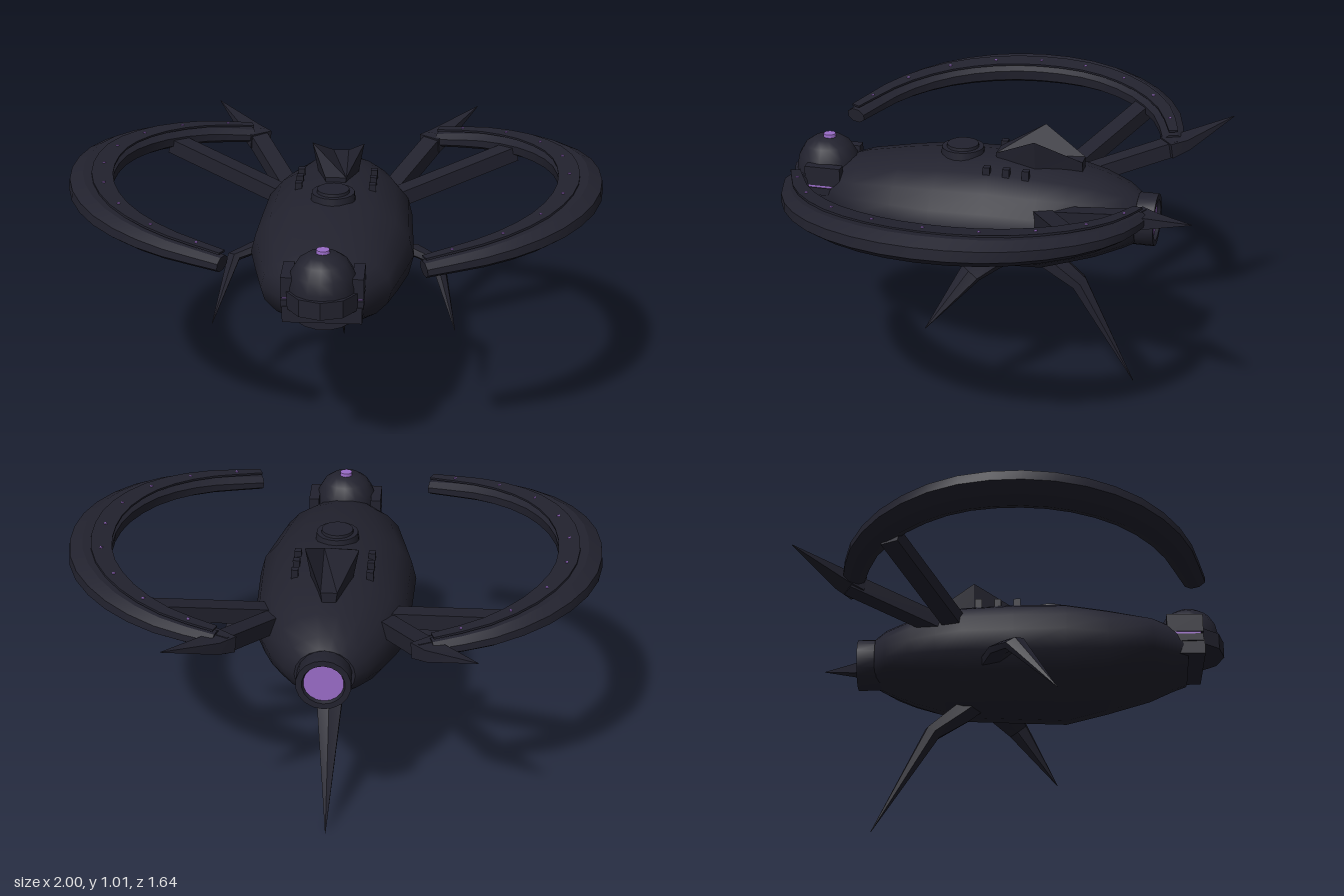
import * as THREE from 'three';
import { toCreasedNormals } from 'three/addons/utils/BufferGeometryUtils.js';

const V = (x, y, z) => new THREE.Vector3(x, y, z);

// Closed skin through equal-sized rings of points, always wound outward
function loft(rings, crease = 0.7) {
  const n = rings[0].length, pos = [], idx = [];
  rings.forEach(r => r.forEach(p => pos.push(p)));
  for (let i = 0; i < rings.length - 1; i++)
    for (let j = 0; j < n; j++) {
      const a = i * n + j, b = i * n + (j + 1) % n;
      idx.push([a, b, b + n], [a, b + n, a + n]);
    }
  const last = (rings.length - 1) * n;
  for (let j = 1; j < n - 1; j++) idx.push([0, j + 1, j], [last, last + j, last + j + 1]);
  let volume = 0;
  for (const [a, b, c] of idx) volume += pos[a].dot(pos[b].clone().cross(pos[c]));
  const flat = [];
  for (const [a, b, c] of idx)
    for (const k of volume < 0 ? [a, c, b] : [a, b, c]) flat.push(pos[k].x, pos[k].y, pos[k].z);
  const g = new THREE.BufferGeometry();
  g.setAttribute('position', new THREE.Float32BufferAttribute(flat, 3));
  return toCreasedNormals(g, crease);
}

// Limb along stations [x, y, z, halfWidth, halfHeight]; n = 4 gives a rectangular section
function limb(stations, ref, n = 4) {
  const p = stations.map(s => V(s[0], s[1], s[2]));
  return loft(p.map((c, i) => {
    const dir = p[Math.min(i + 1, p.length - 1)].clone().sub(p[Math.max(i - 1, 0)]).normalize();
    const side = dir.clone().cross(ref).normalize();
    const up = side.clone().cross(dir);
    const k = 1 / Math.cos(Math.PI / n);
    return Array.from({ length: n }, (_, j) => {
      const a = (j + 0.5) / n * Math.PI * 2;
      return c.clone().addScaledVector(side, Math.cos(a) * k * stations[i][3])
        .addScaledVector(up, Math.sin(a) * k * stations[i][4]);
    });
  }), 0.5);
}

export function createModel() {
  const root = new THREE.Group();
  const dark = new THREE.MeshStandardMaterial({ color: 0x22222e });
  dark.name = 'dark hull';
  const glow = new THREE.MeshStandardMaterial({ color: 0x9a6cc8 });
  glow.name = 'violet glow';

  const add = (name, geo, mat = dark, x = 0, y = 0, z = 0) => {
    const m = new THREE.Mesh(geo, mat);
    m.name = name;
    m.position.set(x, y, z);
    root.add(m);
    return m;
  };
  const box = (name, w, h, d, x, y, z, mat) => add(name, new THREE.BoxGeometry(w, h, d), mat, x, y, z);

  // Hull: [z, half width, top, bottom, height of widest line]
  const hull = [
    [0.67, 0.13, 0.80, 0.61, 0.71], [0.62, 0.16, 0.83, 0.595, 0.71], [0.53, 0.235, 0.855, 0.565, 0.705],
    [0.36, 0.272, 0.885, 0.515, 0.70], [0.20, 0.305, 0.905, 0.475, 0.70], [0, 0.297, 0.91, 0.482, 0.70],
    [-0.20, 0.288, 0.90, 0.49, 0.70], [-0.30, 0.255, 0.885, 0.52, 0.70], [-0.40, 0.215, 0.865, 0.55, 0.70],
    [-0.50, 0.155, 0.83, 0.59, 0.70], [-0.545, 0.11, 0.80, 0.61, 0.70],
  ];
  add('hull', loft(hull.map(([z, w, top, bottom, mid]) => Array.from({ length: 18 }, (_, j) => {
    const a = j / 18 * Math.PI * 2, s = Math.sin(a);
    return V(Math.cos(a) * w, mid + s * (s > 0 ? top - mid : mid - bottom), z);
  }))));

  // Engine: hollow nozzle with a glowing disc
  const nozzle = [[0.09, 0], [0.1, 0.02], [0.1, 0.115], [0.078, 0.115], [0.072, 0.1]].map(p => new THREE.Vector2(...p));
  add('engineNozzle', toCreasedNormals(new THREE.LatheGeometry(nozzle, 18), 0.5), dark, 0, 0.7, -0.5).rotation.x = -Math.PI / 2;
  add('engineGlow', new THREE.CircleGeometry(0.076, 18), glow, 0, 0.7, -0.602).rotation.y = Math.PI;

  // Dorsal fin: flared wedge, highest at its widest point
  const outline = [[0.04, 0.925, 0], [0.1, 1.005, -0.16], [0.03, 0.915, -0.33]];
  const half = k => outline.map(([x, y, z]) => V(x * k, k < 1 ? 0.84 : y, z));
  const around = pts => [...pts, ...pts.slice().reverse().map(p => V(-p.x, p.y, p.z))];
  add('dorsalFin', loft([around(half(0.7)), around(half(1))], 0.2));

  // Round hatch on the back
  add('hatchBase', new THREE.CylinderGeometry(0.08, 0.085, 0.04, 18), dark, 0, 0.905, 0.14);
  add('hatchLid', new THREE.CylinderGeometry(0.06, 0.062, 0.012, 18), dark, 0, 0.93, 0.14);

  // Head: dome, jaw and neck block
  const dome = [[0.122, 0.74], [0.122, 0.80], [0.112, 0.845], [0.088, 0.885], [0.055, 0.908], [0.0, 0.915]]
    .map(p => new THREE.Vector2(...p));
  add('headDome', toCreasedNormals(new THREE.LatheGeometry(dome, 16), 0.7), dark, 0, 0, 0.682);
  add('headEye', new THREE.CylinderGeometry(0.024, 0.026, 0.016, 10), glow, 0, 0.916, 0.675);
  add('jaw', toCreasedNormals(new THREE.CylinderGeometry(0.13, 0.13, 0.065, 10), 0.3), dark, 0, 0.753, 0.69);
  box('neckBlock', 0.28, 0.06, 0.15, 0, 0.7, 0.66);

  // Ring arm centre line and its inner track, right-hand coordinates
  const armPath = [[0.35, 0.687], [0.6, 0.585], [0.78, 0.43], [0.89, 0.22], [0.92, 0],
    [0.88, -0.22], [0.75, -0.42], [0.57, -0.55], [0.38, -0.605]];
  const armCurve = new THREE.CatmullRomCurve3(armPath.map(([x, z]) => V(x, 0, z)));

  for (const s of [1, -1]) {
    const name = n => (s > 0 ? 'left' : 'right') + n;
    const up = V(-0.12 * s, 1, 0).normalize();
    const flip = pts => pts.map(([x, ...rest]) => [x * s, ...rest]);

    // Curved ring arm, thickest in the middle
    const arm = [], track = [];
    for (let i = 0; i <= 18; i++) {
      const t = i / 18, p = armCurve.getPointAt(t), bulge = Math.sin(Math.PI * t);
      arm.push([p.x, 0.825 + 0.115 * p.x, p.z, 0.04 + 0.04 * bulge, 0.027 + 0.021 * bulge]);
      const inward = V(0.25 - p.x, 0, -p.z).normalize();
      const q = p.clone().addScaledVector(inward, 0.045 * bulge);
      track.push([q.x, 0.862 + 0.129 * q.x, q.z, 0.018 + 0.022 * bulge, 0.004]);
    }
    add(name('RingArm'), limb(flip(arm), up, 8));
    add(name('RingTrack'), limb(flip(track), up));
    for (let i = 1; i < 18; i += 2)
      box(name('TrackLight'), 0.01, 0.006, 0.01, track[i][0] * s, track[i][1] + 0.004, track[i][2], glow);

    // Two struts from hull to arm and a swept rear spike
    const y = V(0, 1, 0);
    add(name('FrontStrut'), limb(flip([[0.2, 0.755, -0.21, 0.035, 0.03], [0.68, 0.885, -0.44, 0.035, 0.03]]), y));
    add(name('RearStrut'), limb(flip([[0.19, 0.755, -0.25, 0.035, 0.03], [0.37, 0.86, -0.62, 0.035, 0.03]]), y));
    add(name('RearSpike'), limb(flip([[0.345, 0.855, -0.585, 0.047, 0.03], [0.39, 0.868, -0.645, 0.04, 0.022],
      [0.538, 0.937, -0.82, 0.001, 0.001]]), y));

    // Bent side fin
    add(name('SideFin'), limb(flip([[0.22, 0.61, -0.07, 0.06, 0.022], [0.31, 0.615, -0.04, 0.055, 0.022],
      [0.395, 0.59, 0.005, 0.04, 0.022], [0.466, 0.375, 0.162, 0.001, 0.001]]), V(s, 1, 0), 6));

    // Back studs
    for (const z of [-0.14, -0.065, 0.01])
      box(name('BackStud'), 0.026, 0.04, 0.026, s * 0.14, 0.888, z);

    // Cheek plates with a glowing slit
    box(name('CheekUpper'), 0.04, 0.075, 0.14, s * 0.125, 0.8, 0.66);
    box(name('CheekLower'), 0.04, 0.03, 0.14, s * 0.125, 0.738, 0.66);
    box(name('CheekSlit'), 0.03, 0.009, 0.12, s * 0.127, 0.758, 0.66, glow);
  }

  // Long ventral stinger
  add('stinger', limb([[0, 0.55, -0.13, 0.055, 0.04], [0, 0.49, -0.205, 0.055, 0.038],
    [0, 0.405, -0.32, 0.044, 0.028], [0, 0, -0.545, 0.001, 0.001]], V(0, 0, 1), 6));

  return root;
}
